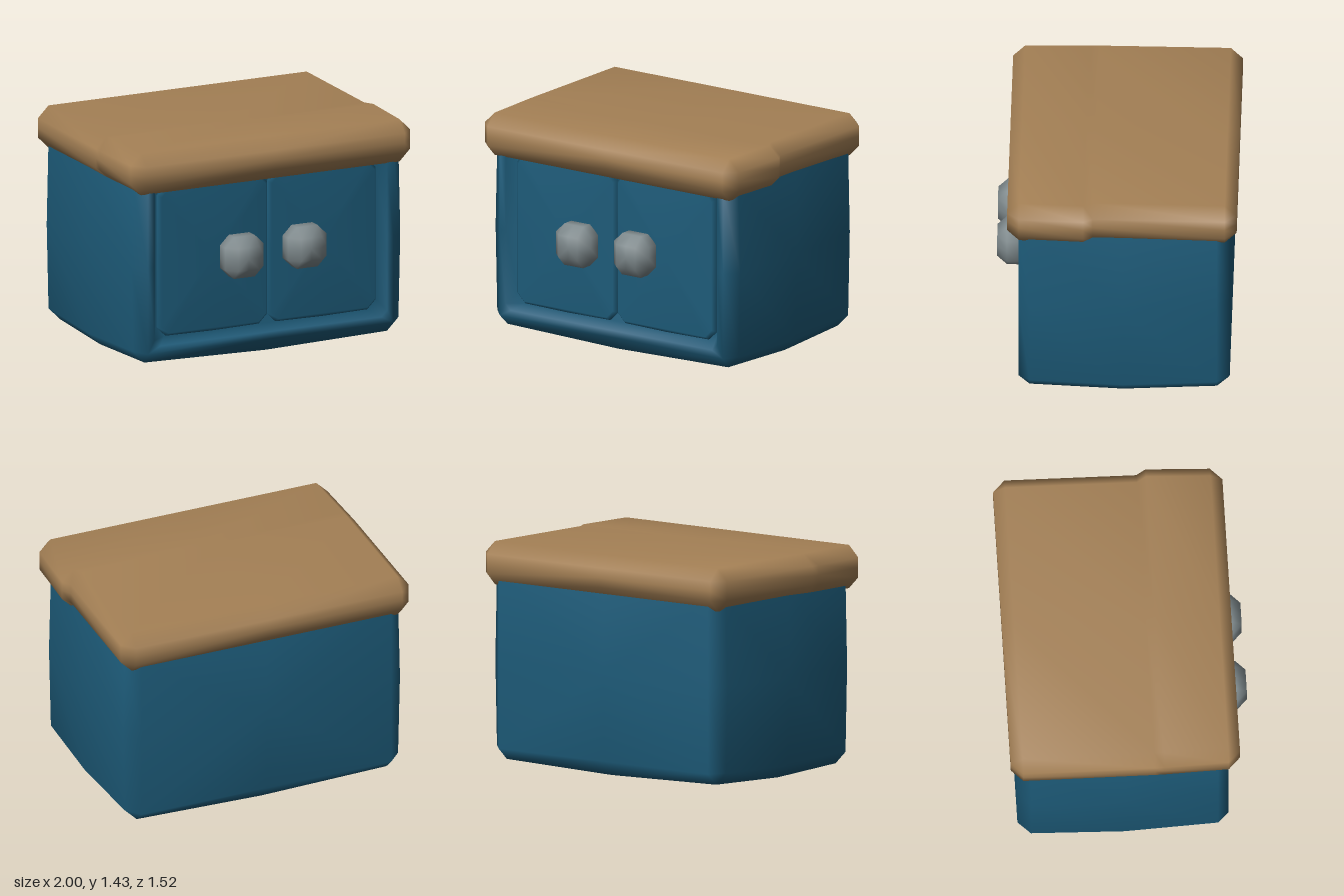
import * as THREE from 'three';
import { mergeVertices } from 'three/addons/utils/BufferGeometryUtils.js';

const material = (name, color) => {
  const m = new THREE.MeshStandardMaterial({ color });
  m.name = name;
  return m;
};

// Rectangle with cut corners and slightly bowed sides, counter-clockwise seen from +z
function ring(z, x0, x1, y0, y1, c = 0, bowX = 0, bowY = 0) {
  const xm = (x0 + x1) / 2, ym = (y0 + y1) / 2;
  return [
    [x1, y0 + c], [x1 + bowX, ym], [x1, y1 - c],
    [x1 - c, y1], [xm, y1], [x0 + c, y1],
    [x0, y1 - c], [x0 - bowX, ym], [x0, y0 + c],
    [x0 + c, y0], [xm, y0 - bowY], [x1 - c, y0],
  ].map(([x, y]) => [x, y, z]);
}

// Skin over rings running towards +z, closed at both ends, with smooth normals
function loft(rings) {
  const pos = [], index = [], n = rings[0].length;
  rings.forEach(r => r.forEach(p => pos.push(...p)));
  for (let k = 0; k < rings.length - 1; k++) {
    for (let i = 0; i < n; i++) {
      const j = (i + 1) % n;
      const a = k * n + i, b = k * n + j, c = b + n, d = a + n;
      index.push(a, b, c, a, c, d);
    }
  }
  [0, rings.length - 1].forEach((k, end) => {
    const centre = pos.length / 3;
    for (let axis = 0; axis < 3; axis++) {
      pos.push(rings[k].reduce((s, p) => s + p[axis], 0) / n);
    }
    for (let i = 0; i < n; i++) {
      const a = k * n + i, b = k * n + (i + 1) % n;
      index.push(centre, ...(end ? [a, b] : [b, a]));
    }
  });
  let g = new THREE.BufferGeometry();
  g.setAttribute('position', new THREE.Float32BufferAttribute(pos, 3));
  g.setIndex(index);
  g = mergeVertices(g, 1e-4);
  g.computeVertexNormals();
  return g;
}

// Box with every edge chamfered by c
function chamferBox(x0, x1, y0, y1, z0, z1, c) {
  const inner = z => ring(z, x0 + c, x1 - c, y0 + c, y1 - c);
  const outer = z => ring(z, x0, x1, y0, y1, c);
  return loft([inner(z0), outer(z0 + c), outer(z1 - c), inner(z1)]);
}

export function createModel() {
  const model = new THREE.Group();
  model.name = 'cabinet';
  const blue = material('blue paint', 0x1d5b79);
  const wood = material('tan wood', 0xa48055);
  const metal = material('grey metal', 0x7f8a8d);

  const add = (name, geometry, mat) => {
    const mesh = new THREE.Mesh(geometry, mat);
    mesh.name = name;
    model.add(mesh);
  };

  // Carcass bulging towards the middle of each side, with a shallow recess in the front
  add('body', loft([
    ring(-0.72, -0.86, 0.85, 0.115, 1.22),
    ring(-0.64, -0.94, 0.93, 0.04, 1.30, 0.08, 0.013, 0.02),
    ring(-0.05, -0.955, 0.945, 0.02, 1.30, 0.08, 0.017, 0.02),
    ring(0.54, -0.94, 0.93, 0.04, 1.30, 0.08, 0.013, 0.02),
    ring(0.61, -0.87, 0.86, 0.11, 1.22),
    ring(0.61, -0.825, 0.815, 0.155, 1.20, 0.04),
    ring(0.535, -0.78, 0.77, 0.195, 1.19, 0.06),
  ]), blue);

  // Pair of doors set into the recess
  const door = (x0, x1) => loft([
    ring(0.50, x0, x1, 0.20, 1.18, 0.06, 0, 0.005),
    ring(0.55, x0, x1, 0.20, 1.18, 0.06, 0, 0.005),
    ring(0.575, x0 + 0.02, x1 - 0.02, 0.22, 1.16, 0.05),
  ]);
  add('rightDoor', door(-0.775, 0), blue);
  add('leftDoor', door(0, 0.765), blue);

  // Chunky knobs at slightly different heights
  add('rightKnob', chamferBox(-0.37, -0.10, 0.555, 0.825, 0.56, 0.76, 0.062), metal);
  add('leftKnob', chamferBox(0.075, 0.345, 0.565, 0.835, 0.555, 0.755, 0.062), metal);

  // Worktop with a small step in its left edge
  const c = 0.075;
  const slab = (z, x0, x1) => ring(z, x0, x1, 1.152, 1.427, c);
  const end = (z, x0, x1) => ring(z, x0 + c, x1 - c, 1.152 + c, 1.427 - c);
  add('worktop', loft([
    end(-0.765, -0.99, 0.98),
    slab(-0.69, -0.99, 0.98),
    slab(0.14, -1.0, 0.965),
    slab(0.20, -1.0, 1.0),
    slab(0.605, -0.99, 0.98),
    end(0.68, -0.99, 0.98),
  ]), wood);

  return model;
}
